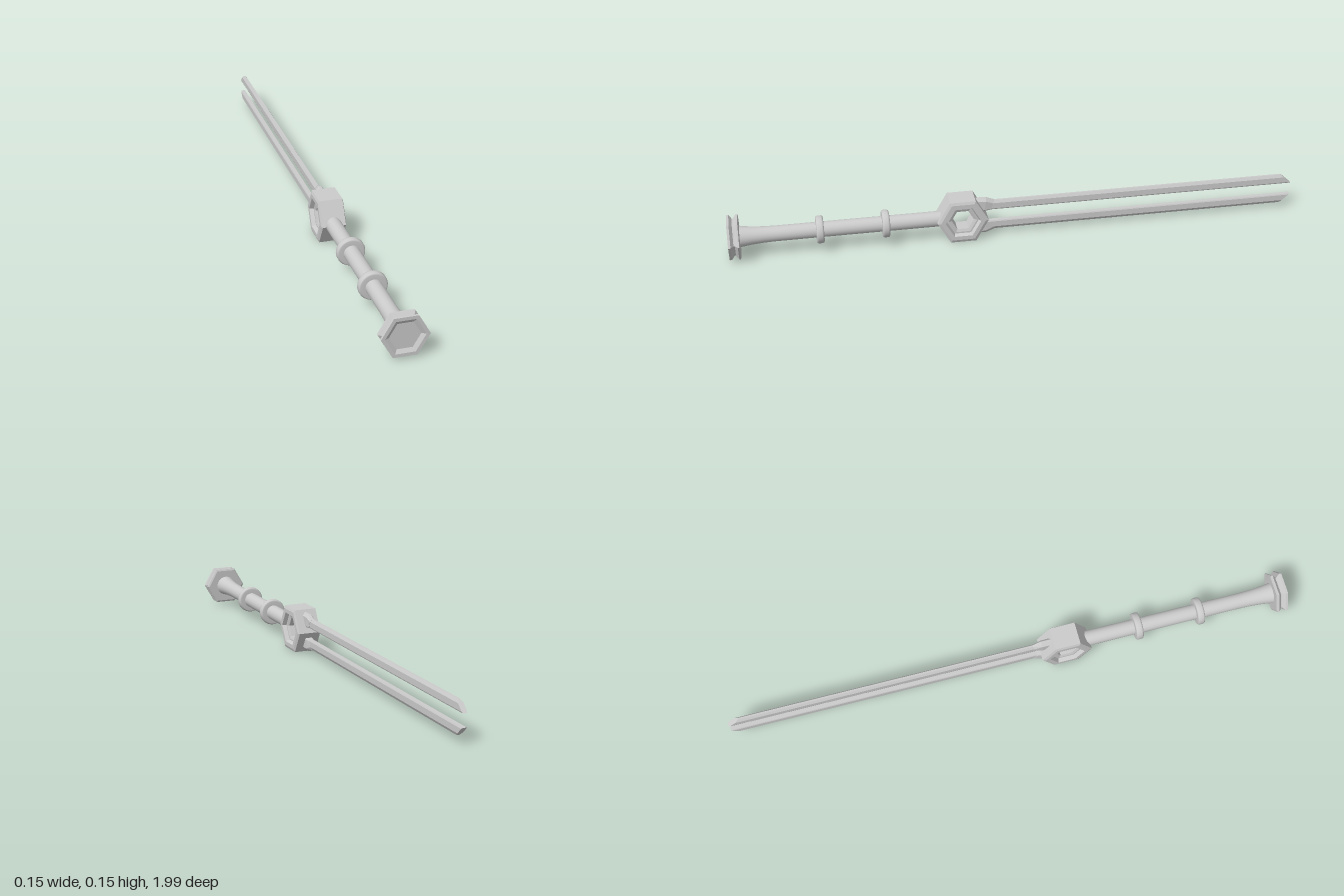
import * as THREE from 'three';

const AXIS_Y = 0.077;
const material = new THREE.MeshStandardMaterial({ color: 0xcccccc });

function part(name, geometry, parent) {
  const mesh = new THREE.Mesh(geometry, material);
  mesh.name = name;
  parent.add(mesh);
  return mesh;
}

const points = list => list.map(([r, h]) => new THREE.Vector2(r, h));

// Six-sided faceted solid turned around the y axis
function hexSolid(profile, start) {
  const g = new THREE.LatheGeometry(points(profile), 6, start).toNonIndexed();
  g.computeVertexNormals();
  return g;
}

// Faceted loft through rings of equal point count, capped at both ends
function loft(rings) {
  const pos = [];
  const tri = (a, b, c) => pos.push(...a, ...b, ...c);
  const n = rings[0].length;
  for (let i = 0; i < rings.length - 1; i++) {
    for (let j = 0; j < n; j++) {
      const k = (j + 1) % n;
      const a = rings[i][j], b = rings[i][k], c = rings[i + 1][k], d = rings[i + 1][j];
      tri(a, b, c);
      tri(a, c, d);
    }
  }
  const first = rings[0], last = rings[rings.length - 1];
  for (let j = 1; j < n - 1; j++) {
    tri(first[0], first[j + 1], first[j]);
    tri(last[0], last[j], last[j + 1]);
  }
  const g = new THREE.BufferGeometry();
  g.setAttribute('position', new THREE.Float32BufferAttribute(pos, 3));
  g.computeVertexNormals();
  return g;
}

// Tine cross-section: flat inner face, bevelled narrow outer edge.
// zOuter and zInner differ where the end is cut on a slant.
function tineRing(zOuter, zInner, inner, outer, half) {
  const section = [
    [half * 0.8, inner], [half, inner + 0.004], [half, outer - 0.01], [half * 0.35, outer],
    [-half * 0.35, outer], [-half, outer - 0.01], [-half, inner + 0.004], [-half * 0.8, inner]
  ];
  return section.map(([x, y]) => {
    const t = (y - inner) / (outer - inner);
    return [x, y, zInner + (zOuter - zInner) * t];
  }).reverse();
}

export function createModel() {
  const root = new THREE.Group();
  root.name = 'twinTineSword';
  const body = new THREE.Group();
  body.name = 'body';
  body.position.y = AXIS_Y;
  root.add(body);

  // Grooved hexagonal pommel with a recessed end face
  part('pommel', hexSolid([
    [0, 0.96], [0.07, 0.96], [0.077, 0.963], [0.077, 0.968], [0.063, 0.978], [0.063, 0.982],
    [0.077, 0.992], [0.077, 1], [0.064, 1], [0.05, 0.992], [0, 0.992]
  ], Math.PI / 2).rotateX(Math.PI / 2), body);

  // Round grip flaring into the pommel
  part('grip', new THREE.LatheGeometry(points([
    [0.027, 0.25], [0.027, 0.84], [0.028, 0.88], [0.031, 0.92], [0.035, 0.95], [0.037, 0.965]
  ]), 32).rotateX(Math.PI / 2), body);

  // Two rounded grip rings
  for (const z of [0.465, 0.69]) {
    const profile = [[0.025, -0.013], [0.042, -0.013], [0.046, -0.011], [0.048, -0.006],
      [0.048, 0.006], [0.046, 0.011], [0.042, 0.013], [0.025, 0.013]];
    const ring = part('gripRing', new THREE.LatheGeometry(points(profile), 32).rotateX(Math.PI / 2), body);
    ring.position.z = z;
  }

  // Hexagonal guard with a stepped through-hole
  const guard = part('guard', hexSolid([
    [0.039, -0.026], [0.05, -0.03], [0.056, -0.03], [0.062, -0.044], [0.078, -0.044], [0.089, -0.04],
    [0.089, 0.04], [0.078, 0.044], [0.062, 0.044], [0.056, 0.03], [0.05, 0.03], [0.039, 0.026],
    [0.039, -0.026]
  ], 0).rotateZ(-Math.PI / 2), body);
  guard.position.z = 0.2;

  // Parallel tines, mirrored by a half turn about the long axis
  const tineGeometry = loft([
    tineRing(0.15, 0.13, 0.022, 0.056, 0.009),
    tineRing(0.05, 0.05, 0.022, 0.056, 0.009),
    tineRing(-0.955, -0.993, 0.022, 0.056, 0.009)
  ]);
  // Wedge claws that seat the tines in the guard
  const clawGeometry = loft([
    tineRing(0.155, 0.14, 0.022, 0.068, 0.013),
    tineRing(0.115, 0.12, 0.02, 0.067, 0.013),
    tineRing(0.085, 0.1, 0.022, 0.056, 0.01)
  ]);
  for (const [side, turn] of [['upper', 0], ['lower', Math.PI]]) {
    part(side + 'Tine', tineGeometry, body).rotation.z = turn;
    part(side + 'Claw', clawGeometry, body).rotation.z = turn;
  }
  return root;
}
